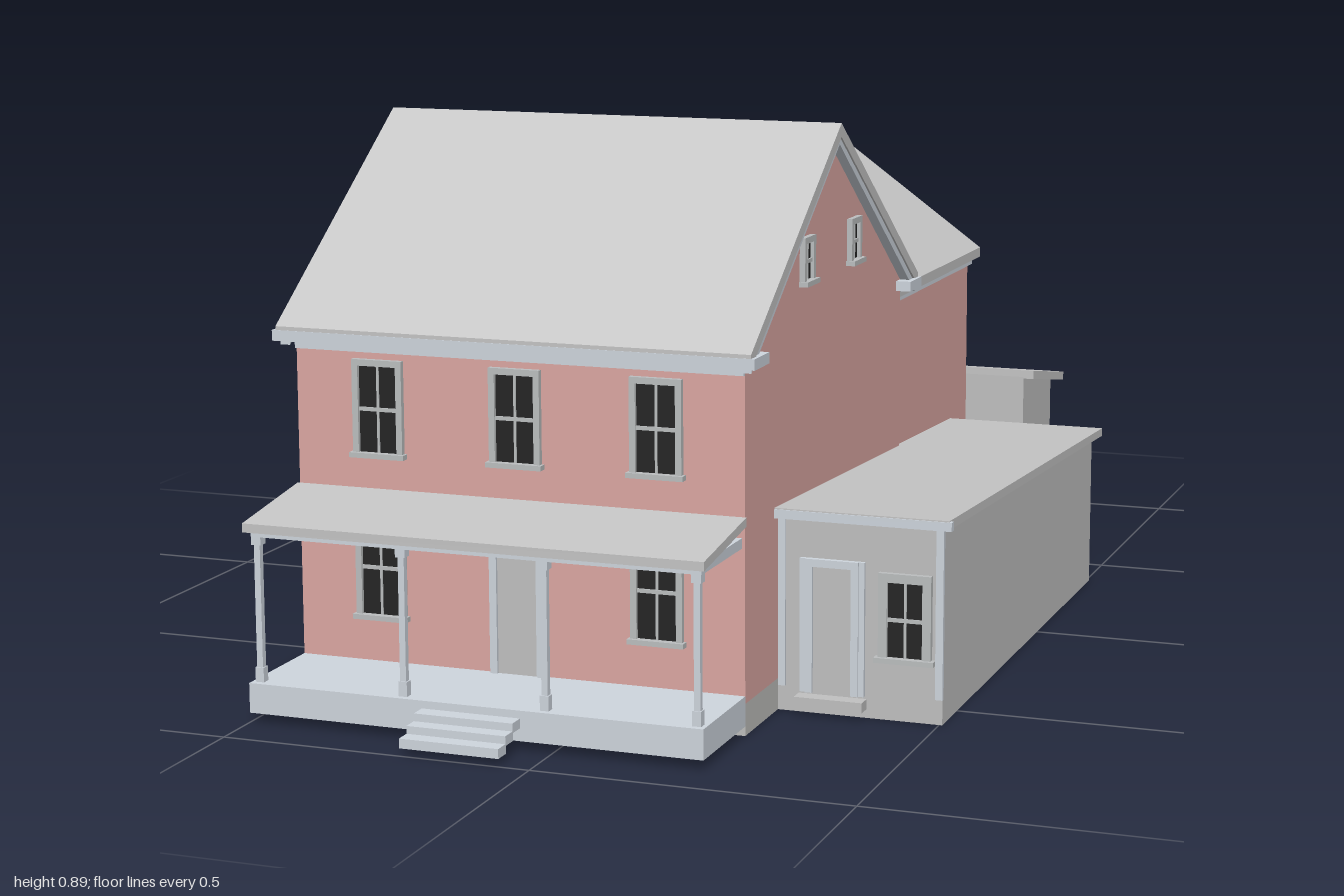
import * as THREE from 'three';

const mat = (name, color) => {
  const m = new THREE.MeshStandardMaterial({ color });
  m.name = name;
  return m;
};

export function createModel() {
  const house = new THREE.Group();
  house.name = 'farmhouse';
  const brick = mat('brick', 0xdca8a3);
  const roofing = mat('roofing', 0xc5c5c5);
  const siding = mat('siding', 0xc1c1c1);
  const stone = mat('foundation stone', 0xbfbfbd);
  const trim = mat('painted trim', 0xcfd6de);
  const frameGrey = mat('window frame', 0xbcbfc0);
  const glass = mat('dark glass', 0x242424);

  const add = (name, geo, material, parent = house) => {
    const m = new THREE.Mesh(geo, material);
    m.name = name;
    parent.add(m);
    return m;
  };
  // Box given by its low and high limits on each axis
  const box = (name, material, x0, x1, y0, y1, z0, z1, parent) => {
    const g = new THREE.BoxGeometry(x1 - x0, y1 - y0, z1 - z0);
    g.translate((x0 + x1) / 2, (y0 + y1) / 2, (z0 + z1) / 2);
    return add(name, g, material, parent);
  };
  const shapeOf = (pts) => new THREE.Shape(pts.map(([a, b]) => new THREE.Vector2(a, b)));
  // (z, y) profile pulled along x
  const alongX = (name, material, pts, x0, x1) => {
    const g = new THREE.ExtrudeGeometry(shapeOf(pts.map(([z, y]) => [-z, y])), { depth: x1 - x0, bevelEnabled: false });
    g.rotateY(Math.PI / 2).translate(x0, 0, 0);
    return add(name, g, material);
  };
  // (x, y) profile pulled along z
  const alongZ = (name, material, pts, z0, z1) => {
    const g = new THREE.ExtrudeGeometry(shapeOf(pts), { depth: z1 - z0, bevelEnabled: false });
    g.translate(0, 0, z0);
    return add(name, g, material);
  };
  // Two-sided roof section: eave, ridge, eave, with a vertical thickness
  const chevron = (a, mid, b, eave, ridge, t) => [
    [a, eave], [mid, ridge], [b, eave], [b, eave - t], [mid, ridge - t], [a, eave - t],
  ];
  // Sloping slab section between two points
  const slab = (a, ya, b, yb, t) => [[a, ya], [b, yb], [b, yb - t], [a, ya - t]];
  // Open foundation skirt with a floor above it
  const skirt = (name, x0, x1, z0, z1, h, t = 0.03) => {
    box(name + 'Front', stone, x0, x1, 0, h, z1 - t, z1);
    box(name + 'Back', stone, x0, x1, 0, h, z0, z0 + t);
    box(name + 'Left', stone, x1 - t, x1, 0, h, z0 + t, z1 - t);
    box(name + 'Right', stone, x0, x0 + t, 0, h, z0 + t, z1 - t);
  };

  // Main block with gable ends
  skirt('mainFoundation', -0.5, 0.24, -0.06, 0.735, 0.05);
  alongX('mainWalls', brick, [[0.735, 0.05], [0.735, 0.585], [0.335, 0.865], [-0.06, 0.585], [-0.06, 0.05]], -0.5, 0.24);
  alongX('mainRoof', roofing, chevron(0.765, 0.335, -0.1, 0.59, 0.89, 0.022), -0.52, 0.26);
  for (const x of [-0.517, 0.241]) {
    alongX('rakeTrim', trim, chevron(0.755, 0.335, -0.09, 0.574, 0.87, 0.014), x, x + 0.016);
  }
  box('frontCornice', trim, -0.526, 0.266, 0.567, 0.584, 0.735, 0.766);
  box('rearCornice', trim, -0.526, 0.266, 0.567, 0.584, -0.1, -0.06);
  box('frontFrieze', trim, -0.5, 0.24, 0.553, 0.567, 0.735, 0.741);
  for (const x of [-0.526, 0.24]) {
    box('corniceReturn', trim, x, x + 0.026, 0.567, 0.584, 0.7, 0.764);
    box('corniceReturn', trim, x, x + 0.026, 0.567, 0.584, -0.098, -0.035);
  }

  // Rear wing
  skirt('wingFoundation', -0.34, 0.165, -0.76, -0.06, 0.05);
  alongZ('wingWalls', brick, [[-0.35, 0.05], [0.165, 0.05], [0.165, 0.53], [-0.093, 0.72], [-0.35, 0.53]], -0.76, -0.06);
  alongZ('wingRoof', roofing, chevron(-0.37, -0.093, 0.183, 0.54, 0.74, 0.018), -0.785, 0.118);
  for (const x of [-0.358, 0.163]) box('wingFrieze', trim, x, x + 0.01, 0.51, 0.53, -0.765, -0.06);

  // Lean-to on the right of the wing
  skirt('leanToFoundation', -0.5, -0.35, -0.76, -0.06, 0.05);
  alongZ('leanToWalls', siding, [[-0.5, 0.05], [-0.35, 0.05], [-0.35, 0.345], [-0.5, 0.26]], -0.76, -0.06);
  alongZ('leanToRoof', roofing, slab(-0.522, 0.268, -0.349, 0.366, 0.017), -0.765, -0.06);

  // Shed across the back
  alongX('backShedWalls', siding, [[-0.76, 0], [-0.76, 0.295], [-0.975, 0.258], [-0.975, 0]], -0.5, 0.28);
  alongX('backShedRoof', roofing, slab(-0.76, 0.308, -1, 0.266, 0.016), -0.52, 0.3);

  // Long side extension
  alongX('sideExtensionWalls', siding, [[0.583, 0], [0.583, 0.308], [-0.38, 0.265], [-0.38, 0]], 0.235, 0.505);
  alongX('sideExtensionRoof', roofing, slab(0.6, 0.324, -0.405, 0.277, 0.014), 0.234, 0.518);
  box('sideExtensionFascia', trim, 0.24, 0.522, 0.308, 0.322, 0.59, 0.602);
  for (const x of [0.241, 0.494]) box('cornerBoard', trim, x, x + 0.012, 0.04, 0.305, 0.58, 0.587);

  // Sash window facing +z, origin at the centre of its glass
  const sashWindow = (w, h, x, y, z, turn = 0, side = 0.01) => {
    const g = new THREE.Group();
    g.name = 'window';
    const a = w / 2, b = h / 2;
    box('glass', glass, -a, a, -b, b, 0, 0.003, g);
    for (const s of [-1, 1]) {
      const c = s * (a + side / 2);
      box('jamb', frameGrey, c - side / 2, c + side / 2, -b, b + side, 0, 0.009, g);
    }
    box('head', frameGrey, -a, a, b, b + side, 0, 0.009, g);
    box('sill', frameGrey, -a - side * 1.4, a + side * 1.4, -b - 0.008, -b, 0, 0.015, g);
    box('muntin', frameGrey, -0.002, 0.002, -b, b, 0.003, 0.005, g);
    box('meetingRail', frameGrey, -a, a, -0.003, 0.003, 0.003, 0.006, g);
    g.position.set(x, y, z);
    g.rotation.y = turn;
    house.add(g);
  };
  for (const x of [-0.36, -0.13, 0.1]) {
    sashWindow(0.064, 0.136, x, 0.464, 0.735);
    if (x !== -0.13) sashWindow(0.064, 0.15, x, 0.213, 0.735);
  }
  for (const z of [0.18, 0.48]) {
    for (const y of [0.213, 0.464]) sashWindow(0.064, 0.14, -0.5, y, z, -Math.PI / 2);
  }
  for (const z of [0.215, 0.455]) {
    sashWindow(0.034, 0.058, 0.24, 0.686, z, Math.PI / 2);
    sashWindow(0.034, 0.058, -0.5, 0.686, z, -Math.PI / 2);
  }
  sashWindow(0.056, 0.118, 0.446, 0.16, 0.583, 0, 0.014);

  // Door facing +z, origin at the middle of its threshold
  const door = (w, h, x, y, z, turn, transom) => {
    const g = new THREE.Group();
    g.name = 'door';
    const a = w / 2;
    box('doorLeaf', siding, -a, a, 0, h, 0, 0.004, g);
    for (const s of [-1, 1]) box('doorJamb', trim, s * a - 0.006, s * a + 0.006, 0, h + 0.012, 0, 0.009, g);
    box('doorHead', trim, -a, a, h, h + 0.012, 0, 0.009, g);
    if (transom) box('transom', glass, -a + 0.006, a - 0.006, h - 0.018, h, 0.004, 0.007, g);
    else {
      for (const s of [-1, 1]) box('casing', trim, s * (a + 0.01) - 0.005, s * (a + 0.01) + 0.005, 0, h + 0.012, 0, 0.006, g);
      box('doorStep', siding, -a - 0.018, a + 0.018, -0.02, -0.004, 0, 0.025, g);
    }
    g.position.set(x, y, z);
    g.rotation.y = turn;
    house.add(g);
  };
  door(0.078, 0.226, -0.13, 0.062, 0.735, 0, true);
  door(0.074, 0.2, 0.329, 0.034, 0.583, 0, false);
  door(0.074, 0.2, -0.18, 0.034, -0.975, Math.PI, false);

  // Front porch with steps, beam, posts and sloping roof
  box('porchFloor', trim, -0.5, 0.24, 0.015, 0.062, 0.735, 0.917);
  for (let i = 0; i < 3; i++) {
    box('porchStep', trim, -0.21, -0.05, 0.035 - i * 0.012, 0.05 - i * 0.012, 0.917 + i * 0.026, 0.945 + i * 0.026);
  }
  box('porchBeam', trim, -0.495, 0.235, 0.29, 0.303, 0.893, 0.909);
  for (const x of [-0.495, 0.223]) box('porchSideBeam', trim, x, x + 0.012, 0.29, 0.306, 0.735, 0.893);
  alongX('porchRoof', roofing, slab(0.735, 0.338, 0.918, 0.312, 0.014), -0.504, 0.242);
  for (const x of [-0.487, -0.246, -0.015, 0.226]) {
    const post = new THREE.Group();
    post.name = 'porchPost';
    box('postShaft', trim, -0.005, 0.005, 0.062, 0.29, -0.005, 0.005, post);
    box('postBase', trim, -0.007, 0.007, 0.062, 0.085, -0.007, 0.007, post);
    box('postCapital', trim, -0.008, 0.008, 0.277, 0.29, -0.008, 0.008, post);
    post.position.set(x, 0, 0.9);
    house.add(post);
  }
  return house;
}
